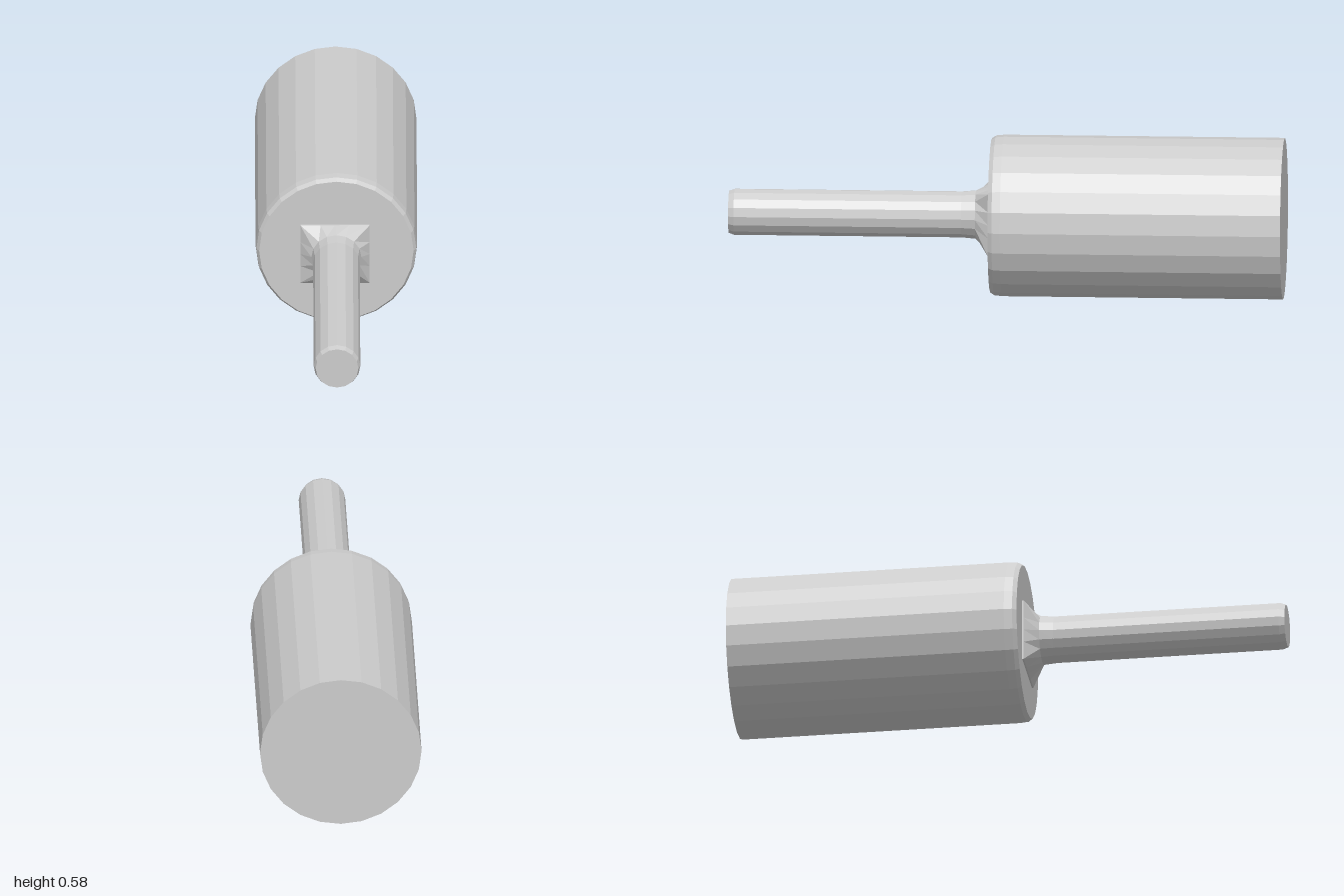
import * as THREE from 'three';

const material = new THREE.MeshStandardMaterial({ color: 0xcccccc, flatShading: true });
const AXIS_Y = 0.292;

// Solid of revolution along z from [radius, z] points
function turned(name, profile, sides, y) {
  const geometry = new THREE.LatheGeometry(profile.map(([r, z]) => new THREE.Vector2(r, z)), sides);
  geometry.rotateX(Math.PI / 2);
  const mesh = new THREE.Mesh(geometry, material);
  mesh.name = name;
  mesh.position.y = y;
  return mesh;
}

// Collar that blends a rectangular foot into the round shaft
function makeCollar() {
  const sides = 16;
  const rings = [
    { square: true, rx: 0.125, ry: 0.116, x: -0.005, y: 0.281, z: 0.05 },
    { square: true, rx: 0.125, ry: 0.116, x: -0.005, y: 0.281, z: 0.06 },
    { square: false, rx: 0.09, ry: 0.088, x: 0, y: 0.294, z: 0.11 },
    { square: false, rx: 0.085, ry: 0.084, x: 0, y: 0.294, z: 0.16 },
  ];
  const positions = [];
  const indices = [];
  rings.forEach((ring, j) => {
    for (let i = 0; i < sides; i++) {
      const a = (i / sides) * Math.PI * 2;
      const c = Math.cos(a), s = Math.sin(a);
      const k = ring.square ? 1 / Math.max(Math.abs(c), Math.abs(s)) : 1;
      positions.push(ring.x + c * k * ring.rx, ring.y + s * k * ring.ry, ring.z);
      if (j === 0) continue;
      const n = (i + 1) % sides;
      const a0 = (j - 1) * sides + i, a1 = (j - 1) * sides + n;
      const b0 = j * sides + i, b1 = j * sides + n;
      indices.push(a0, a1, b1, a0, b1, b0);
    }
  });
  const geometry = new THREE.BufferGeometry();
  geometry.setAttribute('position', new THREE.Float32BufferAttribute(positions, 3));
  geometry.setIndex(indices);
  geometry.computeVertexNormals();
  const mesh = new THREE.Mesh(geometry, material);
  mesh.name = 'collar';
  return mesh;
}

export function createModel() {
  const group = new THREE.Group();
  group.name = 'cylinderWithShaft';

  // Wide body with a softened front rim and a flat back
  group.add(turned('body', [
    [0, -1], [0.291, -1], [0.291, 0.01], [0.288, 0.04], [0.278, 0.055], [0, 0.055],
  ], 24, AXIS_Y));

  // Slim shaft with a small bevel at its tip
  group.add(turned('shaft', [
    [0.084, 0.05], [0.084, 0.98], [0.077, 1], [0, 1],
  ], 16, 0.294));

  group.add(makeCollar());
  return group;
}
